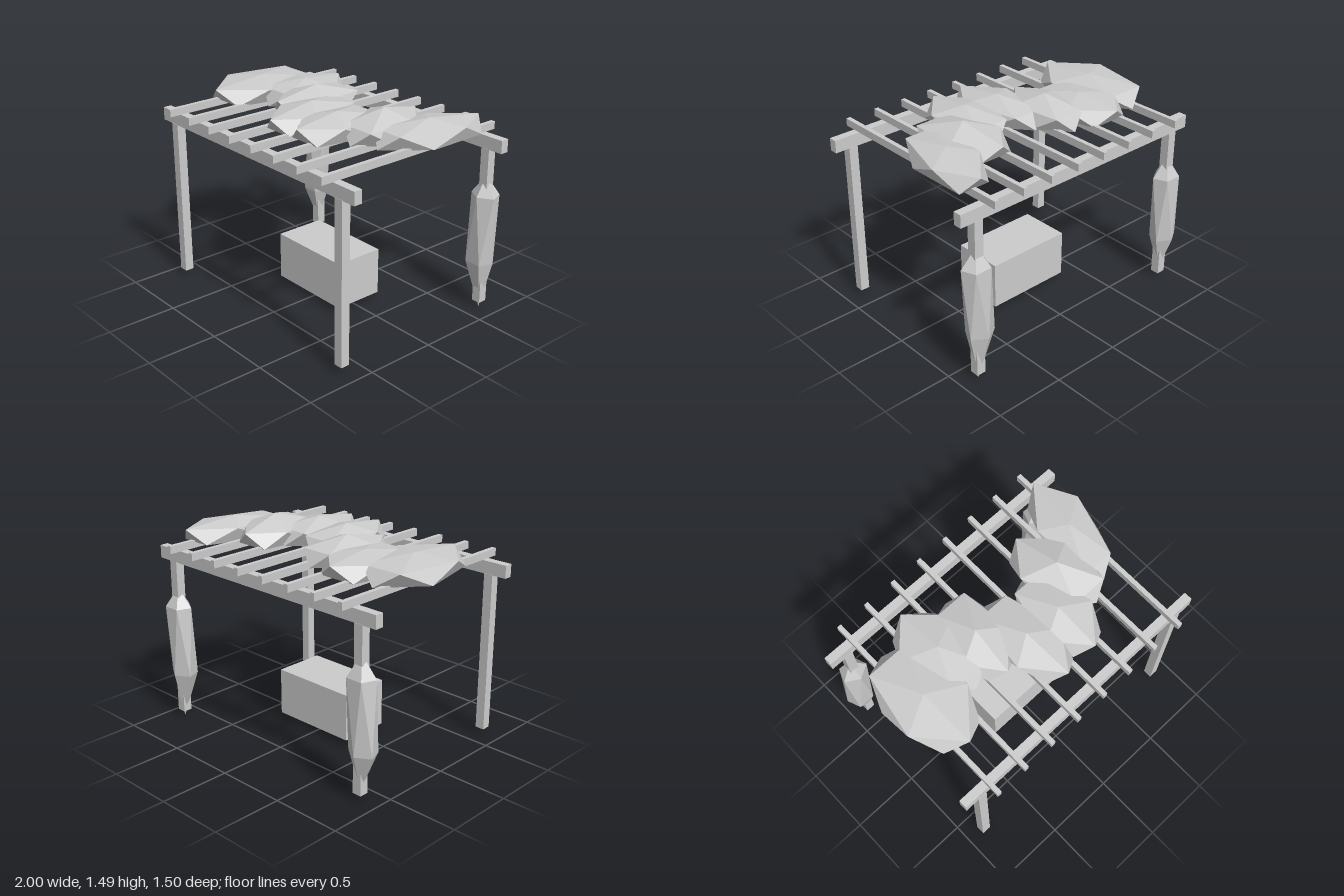
import * as THREE from 'three';

const stone = new THREE.MeshStandardMaterial({ color: 0xcccccc, flatShading: true });
stone.name = 'plain grey';

function box(name, w, h, d, x, y, z) {
  const mesh = new THREE.Mesh(new THREE.BoxGeometry(w, h, d), stone);
  mesh.name = name;
  mesh.position.set(x, y, z);
  return mesh;
}

// Twenty-sided foliage clump: a peak, staggered upper and lower rings of five, and a tip.
// skew slants the ellipse in plan, turn is its first angle, drift shifts the lower ring in x.
function clump(name, { x, z, rx, rz, heights, skew = 0, turn = 0, drift = 0 }) {
  const [top, upperY, lowerY, bottom] = heights;
  const ring = (i) => {
    const a = turn + (i * Math.PI) / 5;
    const dz = rz * Math.cos(a);
    const low = i % 2;
    return [x - rx * Math.sin(a) + skew * dz + low * drift, low ? lowerY : upperY, z + dz];
  };
  const peak = [x, top, z], tip = [x, bottom, z];
  const position = [];
  for (let i = 0; i < 10; i += 2) {
    const u = ring(i), l = ring(i + 1), u2 = ring(i + 2), l2 = ring(i + 3);
    position.push(...peak, ...u2, ...u, ...u, ...u2, ...l);
    position.push(...l, ...u2, ...l2, ...tip, ...l, ...l2);
  }
  const geometry = new THREE.BufferGeometry();
  geometry.setAttribute('position', new THREE.Float32BufferAttribute(position, 3));
  geometry.computeVertexNormals();
  const mesh = new THREE.Mesh(geometry, stone);
  mesh.name = name;
  return mesh;
}

export function createModel() {
  const model = new THREE.Group();
  model.name = 'pergola';

  // Posts and the long beams on them
  for (const z of [-0.636, 0.636]) {
    for (const x of [-0.865, 0.865]) model.add(box('post', 0.066, 1.135, 0.064, x, 0.6175, z));
    model.add(box('beam', 2, 0.09, 0.06, 0, 1.228, z));
  }

  // Rafters
  for (let i = 0; i < 8; i++) {
    model.add(box('rafter', 0.032, 0.053, 1.5, -0.797 + i * 0.2273, 1.2985, 0));
  }

  // Bench block
  model.add(box('bench', 0.64, 0.337, 0.364, 0, 0.2165, 0));

  // Overlapping foliage winding along the roof
  const roof = [
    { x: -0.73, z: 0.0, rx: 0.26, rz: 0.41, top: 1.445, skew: 0.02 },
    { x: -0.46, z: -0.17, rx: 0.24, rz: 0.335, top: 1.445, skew: 0.05, turn: Math.PI },
    { x: -0.22, z: -0.08, rx: 0.2, rz: 0.32, top: 1.475, skew: -0.08 },
    { x: 0.0, z: 0.15, rx: 0.2, rz: 0.36, top: 1.46, skew: 0.06 },
    { x: 0.27, z: 0.16, rx: 0.21, rz: 0.335, top: 1.46 },
    { x: 0.47, z: -0.06, rx: 0.22, rz: 0.33, top: 1.487, skew: 0.14, turn: Math.PI },
    { x: 0.73, z: -0.21, rx: 0.195, rz: 0.395, top: 1.452, skew: -0.15, turn: Math.PI },
  ];
  for (const { top, ...plan } of roof) {
    model.add(clump('roofFoliage', { ...plan, heights: [top, 1.41, 1.31, 1.255] }));
  }

  // Climbing foliage round the two back posts
  const vine = { z: -0.637, rx: 0.104, rz: 0.088, drift: -0.02 };
  model.add(clump('rightVine', { ...vine, x: -0.868, heights: [0.99, 0.84, 0.34, 0.07] }));
  model.add(clump('leftVine', { ...vine, x: 0.865, heights: [0.99, 0.85, 0.35, 0] }));

  return model;
}
